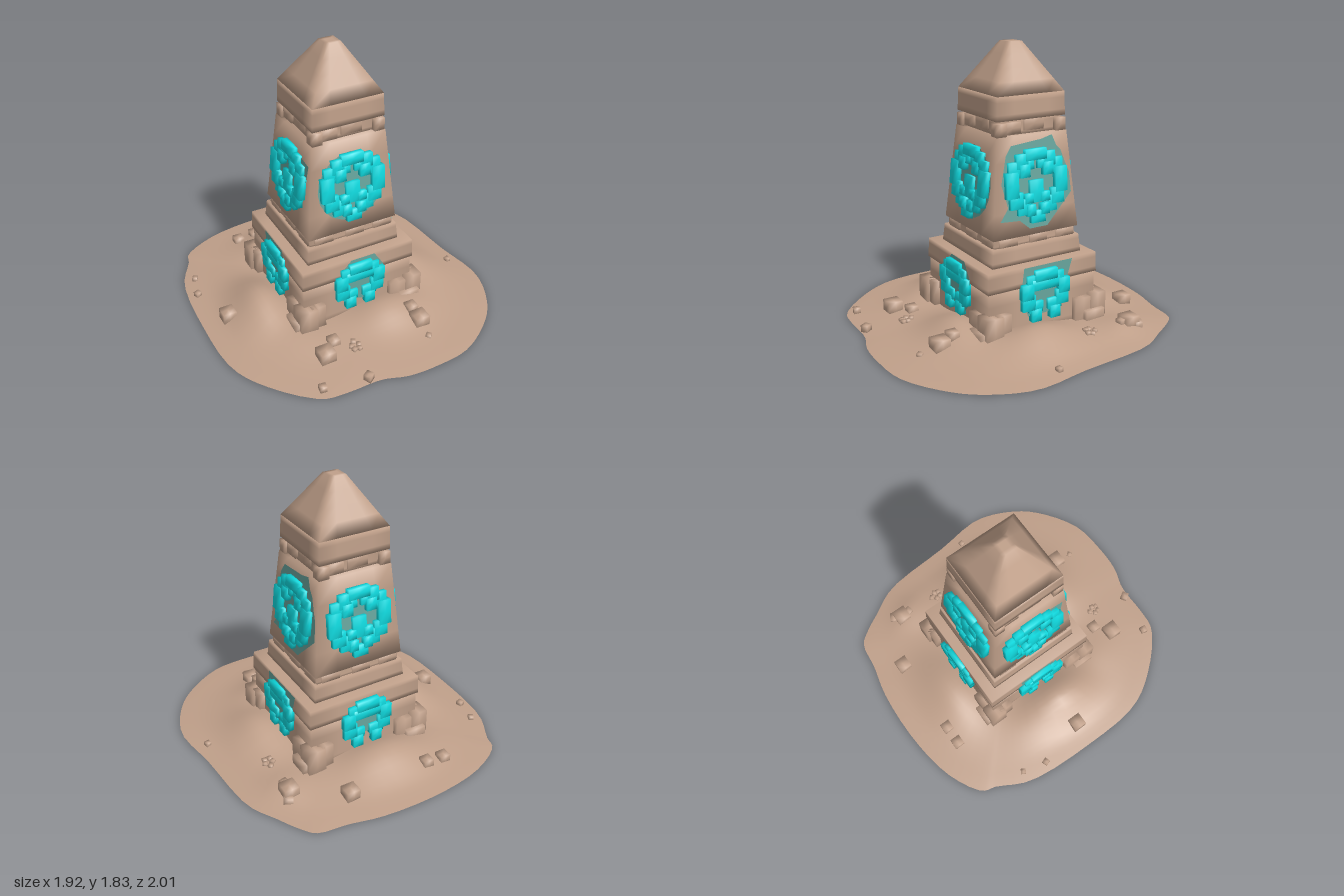
import * as THREE from 'three';
import { mergeVertices } from 'three/addons/utils/BufferGeometryUtils.js';

const sand = new THREE.MeshStandardMaterial({ color: 0xc0a08a });
sand.name = 'sandstone';
const sandGround = new THREE.MeshStandardMaterial({ color: 0xc0a08a, side: THREE.DoubleSide });
sandGround.name = 'sand ground';
const teal = new THREE.MeshStandardMaterial({ color: 0x10dbe0 });
teal.name = 'turquoise';
const stain = new THREE.MeshStandardMaterial({ color: 0x68a59d });
stain.name = 'faded turquoise';

const CZ = -0.045; // tower axis
const SLOPE = 0.0955; // inward lean of the shaft walls
const shaftHalf = (y) => 0.33 - (y - 0.49) * SLOPE;

function add(parent, name, geometry, material, x = 0, y = 0, z = 0) {
  const m = new THREE.Mesh(geometry, material);
  m.name = name;
  m.position.set(x, y, z);
  parent.add(m);
  return m;
}

// Shared corners give soft, worn shading
function softened(geometry) {
  geometry.deleteAttribute('normal');
  geometry.deleteAttribute('uv');
  const g = mergeVertices(geometry);
  g.computeVertexNormals();
  return g;
}

function box(parent, name, material, x, y, z, w, h, d) {
  return add(parent, name, softened(new THREE.BoxGeometry(w, h, d, 2, 2, 2)), material, x, y, z);
}

// Square block with sloping sides, from y0 to y1
function frustum(parent, name, y0, y1, h0, h1) {
  const g = new THREE.BoxGeometry(2, y1 - y0, 2, 4, 4, 4);
  const p = g.attributes.position;
  for (let i = 0; i < p.count; i++) {
    const h = h0 + (h1 - h0) * (p.getY(i) / (y1 - y0) + 0.5);
    p.setX(i, p.getX(i) * h);
    p.setZ(i, p.getZ(i) * h);
  }
  return add(parent, name, softened(g), sand, 0, (y0 + y1) / 2, 0);
}

// Dunes as [x, z, height, radius in x, radius in z]
const dunes = [
  [-0.57, 0.02, 0.135, 0.18, 0.27], [0.53, 0.08, 0.095, 0.2, 0.27],
  [0.17, 0.46, 0.09, 0.26, 0.18], [-0.05, -0.58, 0.1, 0.3, 0.19],
  [-0.45, 0.45, 0.02, 0.15, 0.15], [0.62, -0.5, 0.04, 0.17, 0.17],
];
function groundHeight(x, z, t) {
  let y = 0.005 + 0.05 * (1 - t * t) + 0.006 * Math.sin(9 * x + 4 * z) * Math.sin(8 * z - 3 * x) * (1 - t);
  for (const [dx, dz, h, rx, rz] of dunes) {
    y += h * Math.exp(-(((x - dx) / rx) ** 2) - ((z - dz) / rz) ** 2) * Math.min(1, (1 - t) * 5);
  }
  return y;
}

function ground() {
  const outline = [[0.92, 0], [0.96, 0.37], [0.85, 0.65], [0.71, 0.81], [0.45, 0.97], [0.2, 1], [0, 0.99],
    [-0.16, 0.94], [-0.4, 0.935], [-0.55, 0.91], [-0.8, 0.67], [-0.93, 0.43], [-0.96, 0], [-0.92, -0.5],
    [-0.81, -0.72], [-0.78, -0.81], [-0.55, -0.94], [-0.2, -1], [0.2, -0.99], [0.43, -0.94], [0.62, -0.91],
    [0.69, -0.83], [0.77, -0.69], [0.87, -0.5]];
  const curve = new THREE.CatmullRomCurve3(outline.map(([x, z]) => new THREE.Vector3(x, 0, z)), true);
  const N = 84, R = 24, pos = [], idx = [];
  for (let i = 0; i <= R; i++) {
    for (let j = 0; j < N; j++) {
      const e = curve.getPoint(j / N), t = i / R;
      pos.push(e.x * t, i === R ? 0.004 : groundHeight(e.x * t, e.z * t, t), e.z * t);
      if (i < R) {
        const a = i * N + j, b = i * N + ((j + 1) % N);
        if (i > 0) idx.push(a, b, a + N);
        idx.push(a + N, b, b + N);
      }
    }
  }
  const g = new THREE.BufferGeometry();
  g.setAttribute('position', new THREE.Float32BufferAttribute(pos, 3));
  g.setIndex(idx);
  g.computeVertexNormals();
  return g;
}

// Carved symbols as blocks [x, y, width, height], mirrored when x is not 0
const sunBlocks = [
  [0, 0.195, 0.15, 0.07], [0.1, 0.16, 0.08, 0.09], [0.15, 0.11, 0.09, 0.1], [0.178, 0.02, 0.085, 0.16],
  [0.15, -0.08, 0.09, 0.1], [0.095, -0.125, 0.09, 0.1], [0.05, -0.15, 0.06, 0.07], [0, -0.195, 0.1, 0.075],
  [0, -0.035, 0.095, 0.14], [0.085, 0.1, 0.07, 0.08], [0.06, -0.075, 0.06, 0.06], [0.05, 0.135, 0.07, 0.06],
];
const archBlocks = [
  [0, 0.125, 0.16, 0.07], [0, 0.065, 0.2, 0.07], [0.095, 0.085, 0.08, 0.09], [0.135, 0.03, 0.08, 0.1],
  [0.125, -0.045, 0.09, 0.1], [0.07, -0.08, 0.1, 0.07], [0.07, -0.135, 0.07, 0.08],
];
function symbol(parent, name, blocks, depth) {
  const g = new THREE.Group();
  g.name = name;
  blocks.forEach(([x, y, w, h], i) => {
    const d = depth - (i % 3) * 0.005;
    for (const s of x ? [-1, 1] : [1]) box(g, 'symbolBlock', teal, s * x, y, d / 2 - 0.01, w, h, d);
  });
  parent.add(g);
}

// Thin weathered patch lying on a wall
function patch(parent, points) {
  const shape = new THREE.Shape(points.map(([x, y]) => new THREE.Vector2(x, y)));
  add(parent, 'weatheredPatch', new THREE.ShapeGeometry(shape), stain, 0, 0, 0.004);
}
const disc = (r, n = 20) => Array.from({ length: n }, (_, i) =>
  [r * Math.cos((i / n) * 2 * Math.PI), r * Math.sin((i / n) * 2 * Math.PI)]);
// Patches for the front, right, back and left walls
const upperPatches = [
  disc(0.235),
  [[-0.26, -0.2], [-0.12, -0.21], [-0.05, -0.27], [0.08, -0.27], [0.15, -0.2], [0.27, -0.08], [0.26, 0.05],
    [0.23, 0.12], [0.2, 0.2], [0.17, 0.23], [0.14, 0.3], [0.06, 0.28], [-0.16, 0.26], [-0.2, 0.2],
    [-0.24, 0.03], [-0.2, -0.12]],
  disc(0.17),
  [[-0.2, -0.12], [0, -0.2], [0.18, -0.12], [0.22, 0.05], [0.24, 0.18], [0.1, 0.2], [-0.15, 0.16]],
];
const lowerPatches = [
  [[-0.14, -0.1], [0.1, -0.17], [0.17, -0.08], [0.18, 0.08], [0.11, 0.185], [-0.06, 0.185], [-0.14, 0.1]],
  [[-0.12, -0.14], [0.1, -0.14], [0.16, 0.02], [0.21, 0.185], [-0.15, 0.185], [-0.17, 0.02]],
  [[-0.12, -0.1], [0.12, -0.1], [0.13, 0.08], [-0.13, 0.08]],
  [[-0.13, -0.12], [0.12, -0.12], [0.15, 0.05], [0.1, 0.185], [-0.16, 0.185]],
];

export function createModel() {
  const model = new THREE.Group();
  model.name = 'desertObelisk';
  add(model, 'sandMound', ground(), sandGround);

  const tower = new THREE.Group();
  tower.name = 'tower';
  tower.position.z = CZ;
  model.add(tower);

  // Plinth, shaft and pointed cap
  frustum(tower, 'plinthBody', 0, 0.36, 0.4, 0.395);
  frustum(tower, 'plinthSlab', 0.36, 0.49, 0.405, 0.4);
  frustum(tower, 'shaftFoot', 0.49, 0.605, 0.33, shaftHalf(0.605));
  frustum(tower, 'lowerGroove', 0.6, 0.665, 0.3, 0.295);
  frustum(tower, 'shaft', 0.66, 1.285, shaftHalf(0.66), shaftHalf(1.285));
  frustum(tower, 'upperGroove', 1.28, 1.385, 0.217, 0.215);
  frustum(tower, 'capBase', 1.38, 1.53, 0.247, 0.242);
  frustum(tower, 'capPyramid', 1.53, 1.83, 0.242, 0.05);

  // Walls: symbols, patches and groove stones
  for (let i = 0; i < 4; i++) {
    const wall = new THREE.Group();
    wall.name = 'wall';
    wall.rotation.y = (i * Math.PI) / 2;
    tower.add(wall);

    const upper = new THREE.Group();
    upper.name = 'shaftFace';
    upper.position.set(0, 0.97, shaftHalf(0.97));
    upper.rotation.x = -Math.atan(SLOPE);
    wall.add(upper);
    symbol(upper, 'sunSymbol', sunBlocks, 0.05);
    patch(upper, upperPatches[i]);

    const lower = new THREE.Group();
    lower.name = 'plinthFace';
    lower.position.set(0, 0.3, 0.403);
    wall.add(lower);
    symbol(lower, 'archSymbol', archBlocks, 0.045);
    patch(lower, lowerPatches[i]);

    box(wall, 'grooveStone', sand, -0.13, 1.33, 0.205, 0.12, 0.07, 0.06);
    box(wall, 'grooveStone', sand, 0.03, 1.345, 0.205, 0.14, 0.08, 0.05);
    box(wall, 'cornerStone', sand, 0.215, 1.325, 0.215, 0.07, 0.08, 0.07);
    for (const x of [-0.2, 0.02, 0.22]) box(wall, 'lowerGrooveStone', sand, x, 0.632, 0.285, 0.13, 0.055, 0.045);

    // Stepped corner footing
    box(wall, 'footingBlock', sand, 0.4, 0.11, 0.385, 0.12, 0.22, 0.12);
    box(wall, 'footingBlock', sand, 0.29, 0.105, 0.4, 0.13, 0.2, 0.08);
    box(wall, 'footingBlock', sand, -0.31, 0.13, 0.395, 0.1, 0.18, 0.09);
    box(wall, 'footingBlock', sand, 0.36, 0.07, 0.43, 0.14, 0.1, 0.09);
  }

  // Scattered stones as [x, z, size]
  const stones = [[-0.4, -0.76, 0.07], [-0.27, -0.76, 0.07], [0.3, -0.76, 0.09], [0.62, -0.56, 0.1],
    [-0.79, 0.01, 0.09], [-0.88, -0.33, 0.04], [-0.84, -0.5, 0.035], [0.86, 0.15, 0.035], [-0.39, 0.64, 0.1],
    [0.3, 0.64, 0.1], [0.29, 0.77, 0.035], [-0.52, 0.85, 0.045], [-0.23, 0.9, 0.05], [-0.29, 0.55, 0.07],
    [0.29, 0.55, 0.07], [0.65, -0.61, 0.06], [0.62, -0.5, 0.05]];
  // Small rubble heaps
  for (const [x, z] of [[0.61, -0.26], [-0.18, 0.64]]) {
    for (let k = 0; k < 5; k++) stones.push([x + 0.025 * Math.cos(k * 2.4), z + 0.035 * Math.sin(k * 2.4), 0.03]);
  }
  stones.forEach(([x, z, s], i) => {
    const y = groundHeight(x, z, Math.min(1, Math.hypot(x, z)));
    const stone = box(model, 'stone', sand, x, Math.max(y + s * 0.05, s * 0.52), z, s, s, s);
    if (s < 0.07) stone.rotation.y = i * 0.7;
  });
  return model;
}
